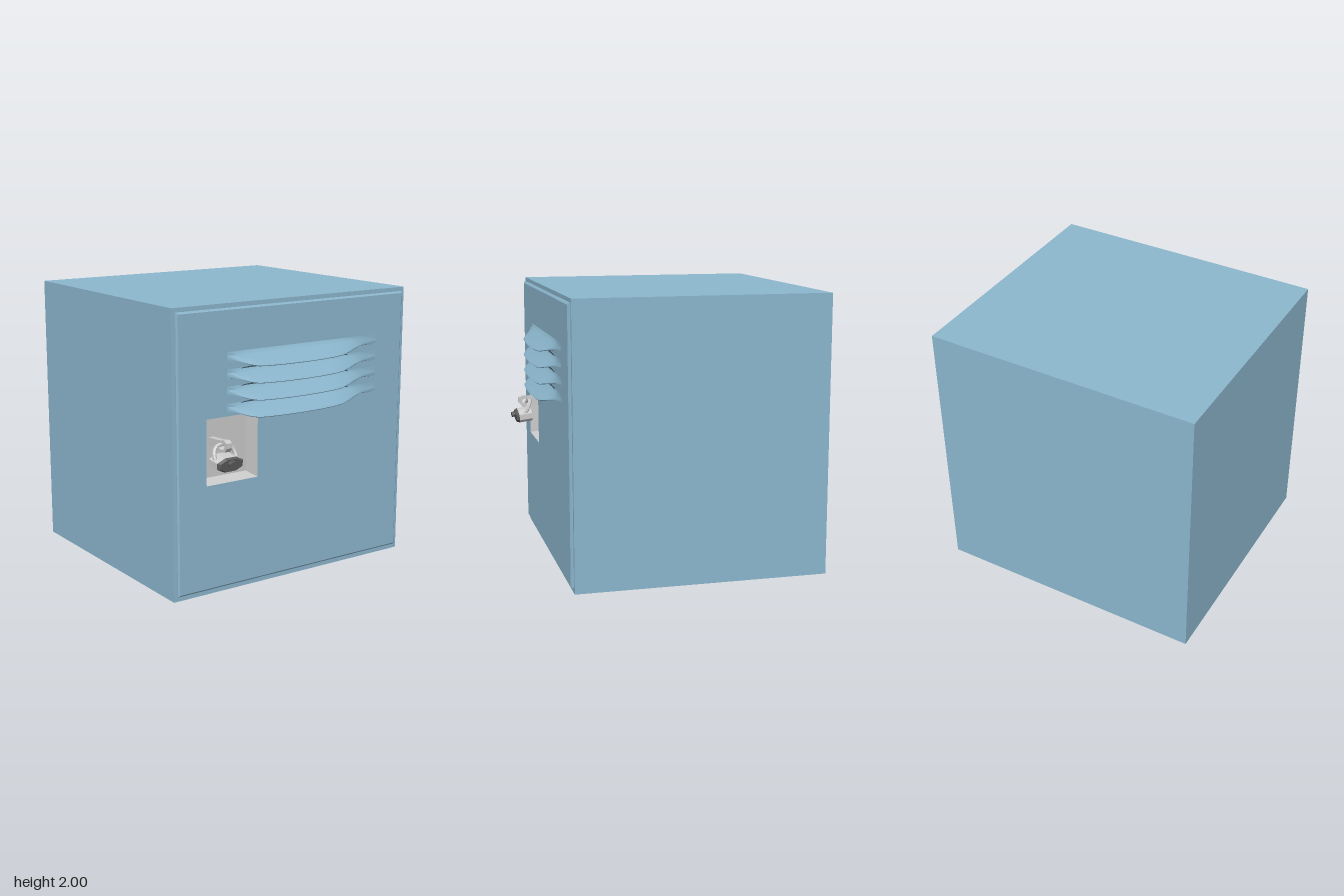
import * as THREE from 'three';
import { toCreasedNormals } from 'three/addons/utils/BufferGeometryUtils.js';

const blue = new THREE.MeshStandardMaterial({ color: 0x8cb7ce, side: THREE.DoubleSide });
const grey = new THREE.MeshStandardMaterial({ color: 0xcccccc, side: THREE.DoubleSide });
const dark = new THREE.MeshStandardMaterial({ color: 0x5c5c5c });
const slotBlue = new THREE.MeshStandardMaterial({ color: 0x3f5663 });

const BODY_Z = 0.815, DOOR_Z = 0.835;
const POCKET = [-0.745, 0.78, -0.325, 1.24]; // x0, y0, x1, y1

function add(parent, name, geometry, material) {
  const mesh = new THREE.Mesh(geometry, material);
  mesh.name = name;
  parent.add(mesh);
  return mesh;
}

// Skin consecutive cross-sections with quads
function loft(rings, closed) {
  const pos = [];
  for (let i = 0; i < rings.length - 1; i++) {
    const n = rings[i].length;
    for (let j = 0; j < (closed ? n : n - 1); j++) {
      const k = (j + 1) % n;
      const a = rings[i][j], b = rings[i][k], c = rings[i + 1][k], d = rings[i + 1][j];
      pos.push(...a, ...b, ...c, ...a, ...c, ...d);
    }
  }
  const g = new THREE.BufferGeometry();
  g.setAttribute('position', new THREE.Float32BufferAttribute(pos, 3));
  g.computeVertexNormals();
  return g;
}

const rectRing = ([x0, y0, x1, y1], z) => [[x0, y0, z], [x1, y0, z], [x1, y1, z], [x0, y1, z]];

// Flat rectangle with an optional rectangular hole
function panel([x0, y0, x1, y1], hole) {
  const outline = (a, b, c, d) => [[a, b], [c, b], [c, d], [a, d]].map(p => new THREE.Vector2(...p));
  const shape = new THREE.Shape(outline(x0, y0, x1, y1));
  if (hole) shape.holes.push(new THREE.Path(outline(...hole).reverse()));
  return new THREE.ShapeGeometry(shape);
}

// One louver blade: a fin that swells out of the door and fades at both ends
function louverGeometry() {
  const stations = [[-0.58, 0], [-0.5, 0.04], [-0.44, 0.073], [-0.38, 0.095], [-0.3, 0.102], [-0.15, 0.108],
    [0, 0.11], [0.15, 0.108], [0.27, 0.102], [0.35, 0.093], [0.43, 0.068], [0.5, 0.044], [0.58, 0.02], [0.72, 0]];
  const rings = stations.map(([x, p]) => {
    const s = p / 0.11, z = DOOR_Z + 0.001;
    return [
      [x, 0.11, z],
      [x, 0.085 - 0.005 * s, z + 0.15 * p],
      [x, 0.07 - 0.055 * s, z + 0.93 * p],
      [x, 0.063 - 0.06 * s, z + p],
      [x, 0.058 - 0.06 * s, z + 0.95 * p],
      [x, 0.045 - 0.005 * s, z + 0.25 * p],
      [x, 0.04, z],
    ];
  });
  return toCreasedNormals(loft(rings, false), 0.7);
}

// Padlock hanging from a flat staple
function createPadlock() {
  const lock = new THREE.Group();
  lock.name = 'padlock';
  lock.position.x = -0.635;

  const staple = new THREE.Shape();
  staple.moveTo(0.725, 1.03).lineTo(0.83, 1.03).lineTo(0.87, 1.01).lineTo(0.92, 1.02)
    .lineTo(0.945, 1.05).lineTo(0.945, 1.085).lineTo(0.91, 1.1).lineTo(0.84, 1.09).lineTo(0.725, 1.085);
  const eye = new THREE.Path();
  eye.absellipse(0.878, 1.055, 0.04, 0.025, 0, Math.PI * 2, true);
  staple.holes.push(eye);
  const plate = new THREE.ExtrudeGeometry(staple, { depth: 0.045, bevelEnabled: false, curveSegments: 4 });
  plate.translate(0, 0, -0.0225).rotateY(-Math.PI / 2);
  add(lock, 'staple', plate, grey);

  const arch = new THREE.CatmullRomCurve3([[-0.08, -0.02], [-0.082, 0.05], [-0.045, 0.1], [0.045, 0.1],
    [0.082, 0.05], [0.08, -0.02]].map(([x, y]) => new THREE.Vector3(x, y, 0)));
  const shackle = add(lock, 'shackle', toCreasedNormals(new THREE.TubeGeometry(arch, 14, 0.015, 6), 0.3), grey);
  shackle.position.set(0, 0.965, 0.905);
  shackle.rotation.x = -0.45;

  // Flattened octagonal case with a dark face and key cylinder
  const body = new THREE.Group();
  body.name = 'lockBody';
  body.position.set(0, 0.948, 0.9);
  body.rotation.x = 0.12;
  lock.add(body);
  const octagon = (r, r2, h) => toCreasedNormals(
    new THREE.CylinderGeometry(r, r2, h, 8, 1, false, Math.PI / 8).rotateX(Math.PI / 2), 0.3).scale(1, 0.48, 1);
  add(body, 'lockCase', octagon(0.113, 0.113, 0.1), grey);
  add(body, 'lockFace', octagon(0.095, 0.113, 0.02), dark).position.z = 0.06;
  const barrel = add(body, 'keyCylinder',
    new THREE.CylinderGeometry(0.033, 0.033, 0.035, 12).rotateX(Math.PI / 2).scale(1, 0.6, 1), dark);
  barrel.position.set(0, 0.015, 0.082);
  return lock;
}

export function createModel() {
  const model = new THREE.Group();
  model.name = 'locker';

  // Case: open-fronted box closed by a front plate with the pocket cut out
  const box = new THREE.BoxGeometry(2, 2, BODY_Z + 1);
  const front = box.groups[4];
  const faces = Array.from(box.index.array);
  faces.splice(front.start, front.count);
  box.setIndex(faces);
  box.clearGroups();
  add(model, 'case', box, blue).position.set(0, 1, (BODY_Z - 1) / 2);
  add(model, 'caseFront', panel([-1, 0, 1, 2], POCKET), blue).position.z = BODY_Z;

  // Door with a bevelled rim
  const outer = [-0.975, 0.035, 0.972, 1.97], inner = [-0.963, 0.047, 0.96, 1.958];
  add(model, 'doorRim', loft([rectRing(outer, BODY_Z), rectRing(outer, 0.825), rectRing(inner, DOOR_Z)], true), blue);
  add(model, 'doorPanel', panel(inner, POCKET), blue).position.z = DOOR_Z;

  // Recessed latch pocket with sloping walls
  const floor = [-0.728, 0.802, -0.345, 1.22], floorZ = 0.725;
  add(model, 'pocketWalls', loft([rectRing(POCKET, DOOR_Z), rectRing(floor, floorZ)], true), grey);
  add(model, 'pocketFloor', panel(floor), grey).position.z = floorZ;

  // Louvers with dark vent slots between them
  const blade = louverGeometry();
  const slot = new THREE.CircleGeometry(1, 20).scale(0.47, 0.014, 1);
  for (let i = 0; i < 4; i++) {
    const y = 1.568 - i * 0.117;
    add(model, 'louver', blade, blue).position.y = y;
    if (i < 3) add(model, 'ventSlot', slot, slotBlue).position.set(0, y - 0.01, DOOR_Z + 0.003);
  }

  model.add(createPadlock());
  return model;
}
